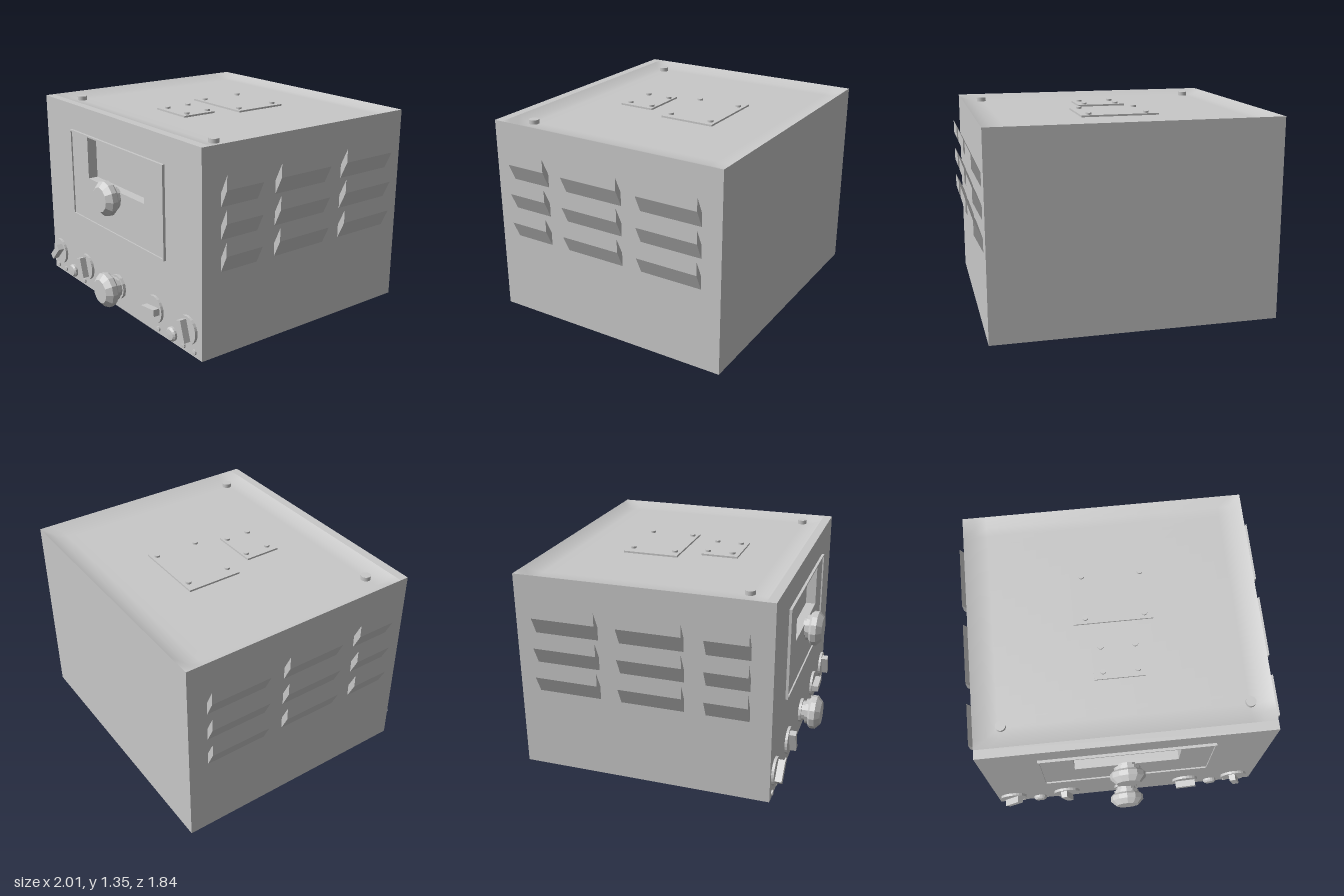
import * as THREE from 'three';

export function createModel() {
  const model = new THREE.Group();
  const grey = new THREE.MeshStandardMaterial({ color: 0xc8c8c8 });
  const CX = -0.01, W = 1.9, H = 1.345, BACK = -0.915, FRONT = 0.765, WALL = 0.06;

  const add = (name, geo, x = 0, y = 0, z = 0, parent = model) => {
    const m = new THREE.Mesh(geo, grey);
    m.name = name;
    m.position.set(x, y, z);
    parent.add(m);
    return m;
  };
  const rect = (P, x0, x1, y0, y1) => {
    const p = new P();
    p.moveTo(x0, y0);
    p.lineTo(x1, y0);
    p.lineTo(x1, y1);
    p.lineTo(x0, y1);
    p.closePath();
    return p;
  };
  // rectangular sheet with a rectangular hole
  const pierced = (outer, hole, depth) => {
    const s = rect(THREE.Shape, ...outer);
    s.holes.push(rect(THREE.Path, ...hole));
    return new THREE.ExtrudeGeometry(s, { depth, bevelEnabled: false });
  };
  // lathe around z, profile given as [radius, z]; faceted
  const turned = (profile, sides) => {
    const g = new THREE.LatheGeometry(profile.map(([r, z]) => new THREE.Vector2(r, z)), sides)
      .rotateX(Math.PI / 2).toNonIndexed();
    g.computeVertexNormals();
    return g;
  };

  // case body, with a slightly sunken lid
  const depth = FRONT - WALL - BACK;
  const body = new THREE.BoxGeometry(W, H, depth, 24, 1, 24);
  const pos = body.attributes.position;
  for (let i = 0; i < pos.count; i++) {
    if (pos.getY(i) < 0) continue;
    const edge = Math.min(W / 2 - Math.abs(pos.getX(i)), depth / 2 - Math.abs(pos.getZ(i)));
    pos.setY(i, H / 2 - 0.03 * Math.min(1, edge / 0.07));
  }
  body.computeVertexNormals();
  add('caseBody', body, CX, H / 2, BACK + depth / 2);

  // front wall with the display recess
  const win = [-0.36, 0.34, 0.855, 1.15];
  add('frontWall', pierced([CX - W / 2, CX + W / 2, 0, H], win, WALL), 0, 0, FRONT - WALL);
  add('displayPanel', pierced([-0.575, 0.555, 0.55, 1.152], win, 0.008), 0, 0, FRONT);
  add('displayRim', pierced([-0.585, 0.565, 0.54, 1.163], [-0.575, 0.555, 0.55, 1.152], 0.018), 0, 0, FRONT);

  // large knobs
  const knob = (name, y, z) => add(name, turned([
    [0.07, FRONT - z], [0.07, 0.02], [0.09, 0.02], [0.09, 0.045], [0.105, 0.045],
    [0.12, 0.06], [0.12, 0.095], [0.083, 0.13], [0, 0.13]], 12), -0.01, y, z);
  knob('displayKnob', 0.815, FRONT);
  knob('mainKnob', 0.165, FRONT + 0.025);
  add('mainKnobBase', turned([[0.085, 0], [0.085, 0.02], [0, 0.02]], 12), -0.01, 0.165, FRONT);

  // rotary selectors: disc with a grip bar
  for (const [x, angle] of [[-0.845, -0.78], [-0.45, 0.28], [0.435, -1.45], [0.8, 0.3]]) {
    const dial = new THREE.Group();
    dial.name = 'selector';
    dial.position.set(x, 0.165, FRONT);
    model.add(dial);
    add('selectorDisc', turned([[0.094, 0], [0.094, 0.018], [0, 0.018]], 24), 0, 0, 0, dial);
    add('selectorGrip', new THREE.BoxGeometry(0.045, 0.145, 0.06), 0, 0, 0.033, dial).rotation.z = angle;
  }

  // push buttons and small front screws
  for (const x of [-0.655, 0.63])
    add('pushButton', turned([[0.048, 0], [0.048, 0.015], [0.036, 0.026], [0, 0.028]], 16), x, 0.065, FRONT);
  for (const x of [-0.9, -0.785, -0.5, 0.47, 0.75, 0.865])
    add('frontScrew', turned([[0.018, 0], [0.018, 0.01], [0, 0.012]], 12), x, 0.035, FRONT);

  // lid plates, each with four screws
  const lid = H - 0.03;
  const plates = [
    { x0: -0.275, x1: 0.25, z0: -0.45, z1: -0.07, sx: [-0.195, 0.193], sz: [-0.41, -0.11] },
    { x0: -0.175, x1: 0.155, z0: 0.07, z1: 0.32, sx: [-0.115, 0.11], sz: [0.1, 0.27] },
  ];
  for (const p of plates) {
    add('lidPlate', new THREE.BoxGeometry(p.x1 - p.x0, 0.012, p.z1 - p.z0),
      (p.x0 + p.x1) / 2, lid + 0.006, (p.z0 + p.z1) / 2);
    for (const x of p.sx) for (const z of p.sz)
      add('plateScrew', new THREE.CylinderGeometry(0.019, 0.019, 0.025, 14), x, lid + 0.0125, z);
  }
  for (const x of [-0.785, 0.79])
    add('lidScrew', new THREE.CylinderGeometry(0.033, 0.033, 0.028, 18), x, lid + 0.014, 0.565);

  // slanted cooling louvres on both sides
  for (const side of [-1, 1]) {
    for (const [z0, z1] of [[0.345, 0.625], [-0.215, 0.205], [-0.78, -0.355]]) {
      for (const top of [1.17, 0.965, 0.76]) {
        const wall = CX + side * (W / 2 - 0.002), out = CX + side * (W / 2 + 0.055);
        const s = new THREE.Shape();
        s.moveTo(wall, top - 0.21);
        s.lineTo(out, top - 0.09);
        s.lineTo(out, top);
        s.lineTo(wall, top - 0.12);
        s.closePath();
        add('louvre', new THREE.ExtrudeGeometry(s, { depth: z1 - z0, bevelEnabled: false }), 0, 0, z0);
      }
    }
  }
  return model;
}
